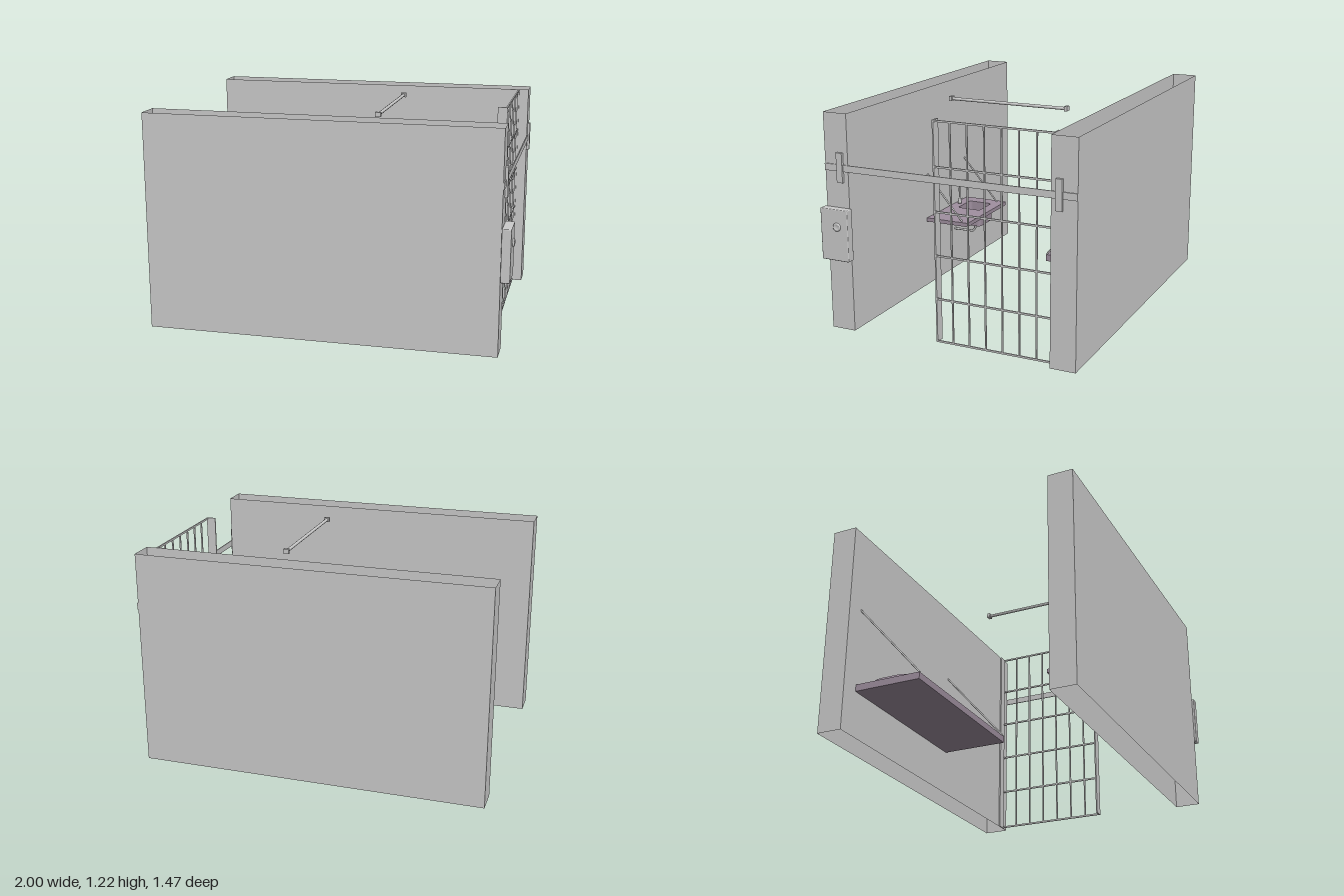
import * as THREE from 'three';
import { RoundedBoxGeometry } from 'three/addons/geometries/RoundedBoxGeometry.js';

const grey = new THREE.MeshStandardMaterial({ color: 0xcccccc });
const greyOpen = new THREE.MeshStandardMaterial({ color: 0xcccccc, side: THREE.DoubleSide });
const purple = new THREE.MeshStandardMaterial({ color: 0xa090a0 });
const purpleOpen = new THREE.MeshStandardMaterial({ color: 0xa090a0, side: THREE.DoubleSide });
const V = (x, y, z) => new THREE.Vector3(x, y, z);

export function createModel() {
  const model = new THREE.Group();
  model.name = 'cell';

  function add(name, geometry, material = grey, parent = model) {
    const mesh = new THREE.Mesh(geometry, material);
    mesh.name = name;
    parent.add(mesh);
    return mesh;
  }
  // Box given by its extents on each axis
  function box(name, x0, x1, y0, y1, z0, z1, material, parent) {
    const g = new THREE.BoxGeometry(x1 - x0, y1 - y0, z1 - z0);
    g.translate((x0 + x1) / 2, (y0 + y1) / 2, (z0 + z1) / 2);
    return add(name, g, material, parent);
  }
  // Straight round rod between two points
  function rod(name, a, b, r, material, parent) {
    const mesh = add(name, new THREE.CylinderGeometry(r, r, a.distanceTo(b), 10), material, parent);
    mesh.position.copy(a).lerp(b, 0.5);
    mesh.quaternion.setFromUnitVectors(V(0, 1, 0), b.clone().sub(a).normalize());
    return mesh;
  }
  function group(name) {
    const g = new THREE.Group();
    g.name = name;
    model.add(g);
    return g;
  }
  // Rounded rectangle drawn in x and -z, so that extrusion can be turned upright
  function roundedRect(Type, x0, x1, z0, z1, r) {
    const s = new Type(), a = -z1, b = -z0;
    s.moveTo(x0 + r, a).lineTo(x1 - r, a).quadraticCurveTo(x1, a, x1, a + r);
    s.lineTo(x1, b - r).quadraticCurveTo(x1, b, x1 - r, b);
    s.lineTo(x0 + r, b).quadraticCurveTo(x0, b, x0, b - r);
    s.lineTo(x0, a + r).quadraticCurveTo(x0, a, x0 + r, a);
    return s;
  }
  function slab(shape, y, depth) {
    const g = new THREE.ExtrudeGeometry(shape, { depth, bevelEnabled: false, curveSegments: 4 });
    return g.rotateX(-Math.PI / 2).translate(0, y, 0);
  }

  // Hollow side walls, open at top and bottom
  for (const [name, z0, z1] of [['frontWall', 0.58, 0.722], ['backWall', -0.73, -0.588]]) {
    const wall = box(name, -1, 0.94, 0, 1.215, z0, z1, greyOpen);
    const index = Array.from(wall.geometry.index.array);
    index.splice(12, 12); // drop the top and bottom faces
    wall.geometry.setIndex(index);
    wall.geometry.clearGroups();
  }

  // Door rail with its two brackets
  box('doorRail', 0.94, 0.946, 0.9, 0.937, -0.73, 0.722);
  for (const z of [0.626, -0.635]) box('railBracket', 0.938, 0.955, 0.84, 1.003, z - 0.018, z + 0.018);

  // Lock box with round keyhole boss
  const lock = group('lockBox');
  add('lockCase', new RoundedBoxGeometry(0.05, 0.288, 0.168, 2, 0.005), grey, lock).position.set(0.965, 0.556, 0.651);
  const boss = new THREE.LatheGeometry([
    [0.023, 0], [0.023, 0.008], [0.016, 0.012], [0.014, 0.007], [0, 0.007],
  ].map(([r, h]) => new THREE.Vector2(r, h)), 24);
  const keyhole = add('keyholeBoss', boss, greyOpen, lock);
  keyhole.rotation.z = -Math.PI / 2;
  keyhole.position.set(0.988, 0.604, 0.632);

  // Barred gate: end plates, uprights and cross bars
  const gate = group('barredGate');
  for (const z of [0.094, -0.584]) box('gateEndPlate', 0.832, 0.885, 0, 1.215, z - 0.004, z + 0.004, grey, gate);
  for (let i = 1; i < 7; i++) {
    const z = 0.094 - i * 0.0969;
    box('gateUpright', 0.877, 0.885, 0, 1.215, z - 0.004, z + 0.004, grey, gate);
  }
  for (let i = 0; i < 6; i++) {
    const y = 0.005 + i * 0.241;
    box('gateCrossBar', 0.877, 0.885, y - 0.005, y + 0.005, -0.588, 0.098, grey, gate);
  }

  // Bunk hung from the back wall
  const bunk = group('bunk');
  box('bunkBoard', -0.89, 0.105, 0.257, 0.296, -0.588, -0.2, purple, bunk);
  for (const x of [-0.888, 0.103]) rod('bunkStay', V(x, 0.296, -0.2), V(x, 0.756, -0.6), 0.005, grey, bunk);

  // Pillow: a sphere squared off in plan, with a flattened underside
  const pillow = new THREE.SphereGeometry(1, 32, 20);
  const p = pillow.attributes.position;
  for (let i = 0; i < p.count; i++) {
    const v = V(0, 0, 0).fromBufferAttribute(p, i);
    const soft = (t, e) => Math.sign(t) * Math.pow(Math.abs(t), e);
    const h = Math.hypot(v.x, v.z) || 1;
    const rim = Math.pow(h, 0.6);
    const y = soft(v.y, 0.8) * (v.y < 0 ? 0.017 : 0.027);
    p.setXYZ(i, soft(v.x / h, 0.5) * rim * 0.073, y, soft(v.z / h, 0.5) * rim * 0.123);
  }
  pillow.computeVertexNormals();
  add('pillow', pillow, purple, bunk).position.set(-0.778, 0.313, -0.407);

  // Wash shelf with a sunken basin
  const shelf = group('washShelf');
  const top = new THREE.Shape([[-0.388, -0.575], [0.132, -0.575], [0.132, -0.3], [-0.388, -0.3]]
    .map(([x, y]) => new THREE.Vector2(x, y)));
  top.holes.push(roundedRect(THREE.Path, -0.307, -0.147, 0.362, 0.512, 0.018));
  add('shelfTop', slab(top, 0.404, 0.023), purple, shelf);
  const rim = roundedRect(THREE.Shape, -0.312, -0.142, 0.357, 0.519, 0.02);
  rim.holes.push(roundedRect(THREE.Path, -0.307, -0.147, 0.362, 0.512, 0.018));
  add('basinWall', slab(rim, 0.322, 0.083), purpleOpen, shelf);
  add('basinFloor', slab(roundedRect(THREE.Shape, -0.31, -0.144, 0.359, 0.517, 0.019), 0.322, 0.005), purple, shelf);
  for (const x of [-0.364, 0.106]) rod('shelfStay', V(x, 0.425, 0.35), V(x, 0.694, 0.58), 0.005, grey, shelf);

  // Gooseneck tap
  const tap = group('tap');
  const base = new THREE.LatheGeometry([
    [0, 0], [0.011, 0], [0.011, 0.012], [0.007, 0.03], [0.005, 0.042], [0, 0.042],
  ].map(([r, h]) => new THREE.Vector2(r, h)), 16);
  add('tapBase', base, greyOpen, tap).position.set(-0.235, 0.426, 0.547);
  const neck = new THREE.CatmullRomCurve3([
    V(-0.235, 0.46, 0.547), V(-0.235, 0.54, 0.546), V(-0.234, 0.57, 0.532),
    V(-0.233, 0.581, 0.51), V(-0.232, 0.578, 0.49), V(-0.232, 0.564, 0.476),
  ]);
  add('tapNeck', new THREE.TubeGeometry(neck, 24, 0.005, 10), greyOpen, tap);
  rod('tapLever', V(-0.235, 0.447, 0.547), V(-0.256, 0.455, 0.54), 0.003, grey, tap);

  // Drain pipe running back into the wall
  const drain = new THREE.CurvePath();
  const pts = [V(-0.228, 0.324, 0.436), V(-0.228, 0.277, 0.436), V(-0.228, 0.259, 0.453), V(-0.228, 0.259, 0.58)];
  for (let i = 0; i < 3; i++) drain.add(new THREE.LineCurve3(pts[i], pts[i + 1]));
  add('drainPipe', new THREE.TubeGeometry(drain, 48, 0.007, 10), greyOpen, shelf);

  // Overhead lamp tube with end holders
  const lamp = group('ceilingLamp');
  rod('lampTube', V(0.213, 1.19, -0.365), V(0.213, 1.19, 0.35), 0.009, grey, lamp);
  for (const z of [-0.363, 0.348]) box('lampHolder', 0.197, 0.229, 1.178, 1.204, z - 0.009, z + 0.009, grey, lamp);

  return model;
}
